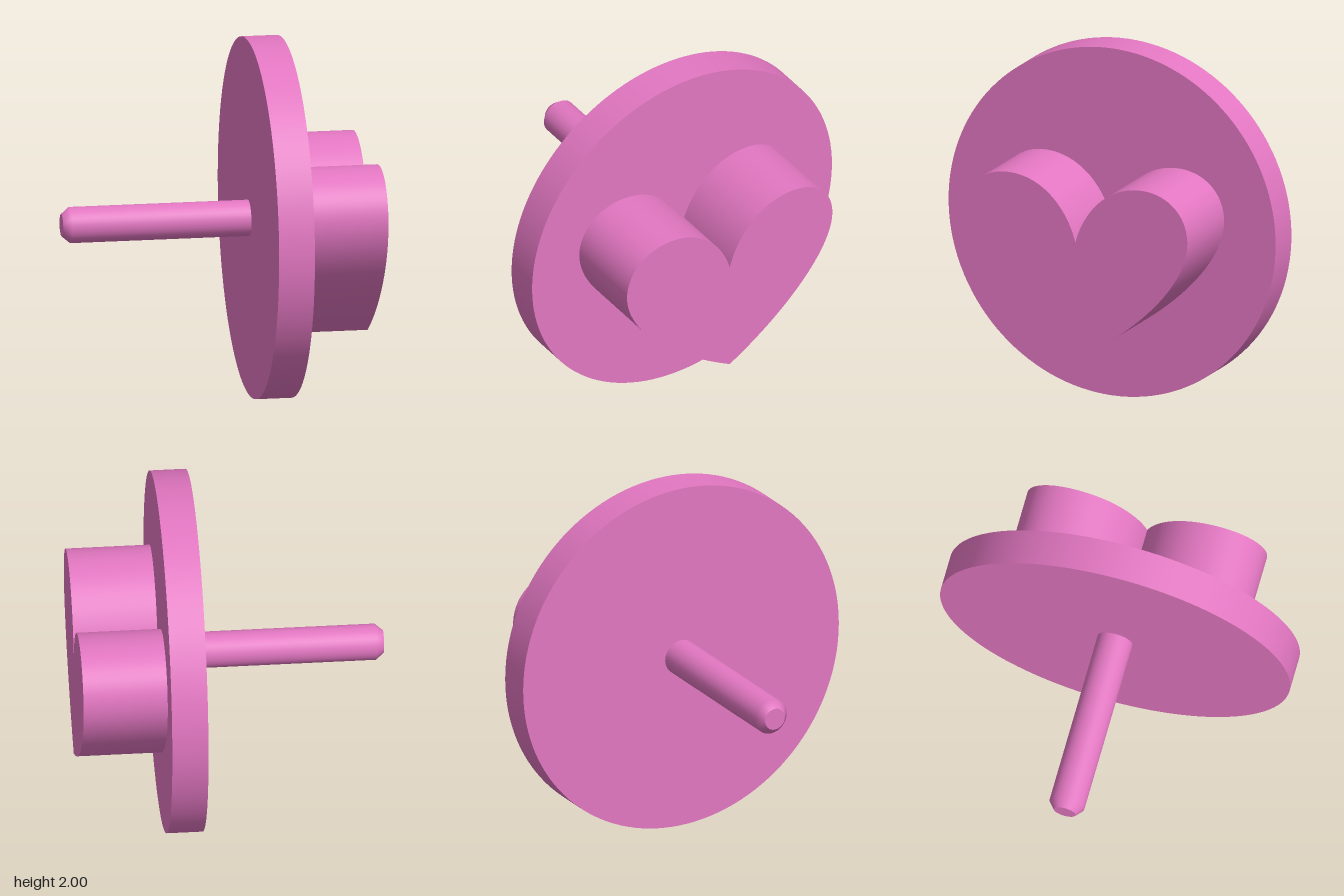
import * as THREE from 'three';
import { toCreasedNormals } from 'three/addons/utils/BufferGeometryUtils.js';

export function createModel() {
  const group = new THREE.Group();
  const material = new THREE.MeshStandardMaterial({ color: 0xe377c2 });
  const add = (name, geometry, x) => {
    const mesh = new THREE.Mesh(geometry, material);
    mesh.name = name;
    mesh.position.set(x, 1, 0);
    group.add(mesh);
  };

  // Round plate, standing upright with its axis along x
  add('disc', new THREE.CylinderGeometry(1, 1, 0.2, 128).rotateZ(Math.PI / 2), 0.29);

  // Raised heart on the +x side, drawn around the disc centre
  const heart = new THREE.Shape();
  heart.moveTo(0, 0.01);
  heart.bezierCurveTo(-0.05, 0.2, -0.2, 0.363, -0.405, 0.363);
  heart.bezierCurveTo(-0.57, 0.363, -0.685, 0.25, -0.685, 0.095);
  heart.bezierCurveTo(-0.685, -0.15, -0.37, -0.46, 0, -0.663);
  heart.bezierCurveTo(0.37, -0.46, 0.685, -0.15, 0.685, 0.095);
  heart.bezierCurveTo(0.685, 0.25, 0.57, 0.363, 0.405, 0.363);
  heart.bezierCurveTo(0.2, 0.363, 0.05, 0.2, 0, 0.01);
  const heartGeometry = new THREE.ExtrudeGeometry(heart, {
    depth: 0.465, bevelEnabled: false, curveSegments: 24,
  }).rotateY(Math.PI / 2);
  add('heart', toCreasedNormals(heartGeometry, 0.5), 0.39);

  // Pin on the -x side with a chamfered end
  const profile = [[0.1, 0], [0.1, 1], [0.062, 1.045]].map(([r, y]) => new THREE.Vector2(r, y));
  add('pin', new THREE.LatheGeometry(profile, 32).rotateZ(Math.PI / 2), 0.19);
  add('pinTip', new THREE.CircleGeometry(0.062, 32).rotateY(-Math.PI / 2), -0.855);

  return group;
}
